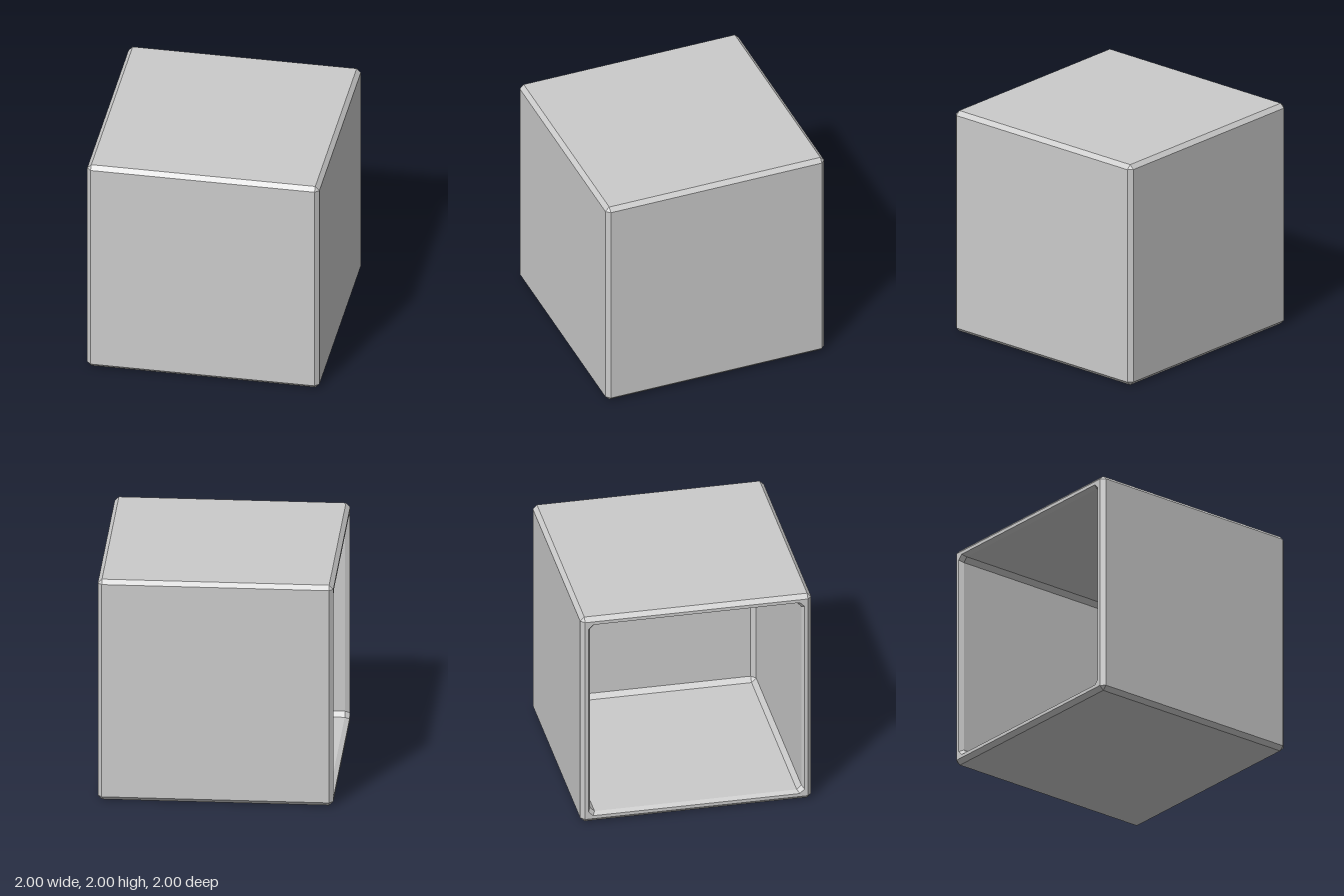
import * as THREE from 'three';

// Eight points of a square ring (half size h, corner chamfer c) in the plane at x
function ring([x, h, c]) {
  const points = [];
  for (let k = 0; k < 4; k++) {
    const cos = Math.round(Math.cos(k * Math.PI / 2));
    const sin = Math.round(Math.sin(k * Math.PI / 2));
    for (const [y, z] of [[h, h - c], [h - c, h]]) {
      points.push(new THREE.Vector3(x, 1 + y * cos - z * sin, y * sin + z * cos));
    }
  }
  return points;
}

// Flat-sided skin joining successive rings, leaving out empty triangles
function loft(sections) {
  const rings = sections.map(ring);
  const positions = [];
  const addTriangle = (a, b, c) => {
    if (new THREE.Triangle(a, b, c).getArea() < 1e-8) return;
    for (const p of [a, b, c]) positions.push(p.x, p.y, p.z);
  };
  for (let i = 0; i < rings.length - 1; i++) {
    const a = rings[i], b = rings[i + 1];
    for (let j = 0; j < 8; j++) {
      const n = (j + 1) % 8;
      addTriangle(a[j], b[j], a[n]);
      addTriangle(a[n], b[j], b[n]);
    }
  }
  const geometry = new THREE.BufferGeometry();
  geometry.setAttribute('position', new THREE.Float32BufferAttribute(positions, 3));
  geometry.computeVertexNormals();
  return geometry;
}

export function createModel() {
  const bevel = 0.036;
  const edge = 1 - bevel;
  const material = new THREE.MeshStandardMaterial({ color: 0xcccccc, flatShading: true });

  // Thick box open towards -x: each section is [x, half size, corner chamfer]
  const sections = [
    // outer end wall, bevelled sides and rim
    [1, 0, 0],
    [1, edge, 0],
    [edge, 1, bevel],
    [-edge, 1, bevel],
    [-1, edge, 0],
    // mouth, inner walls and inner end wall
    [-1, 0.935, 0.04],
    [-0.96, 0.915, 0.04],
    [0.875, 0.915, 0.04],
    [0.915, 0.875, 0],
    [0.915, 0, 0],
  ];
  const box = new THREE.Mesh(loft(sections), material);
  box.name = 'openBox';

  const model = new THREE.Group();
  model.name = 'hollowCube';
  model.add(box);
  return model;
}
